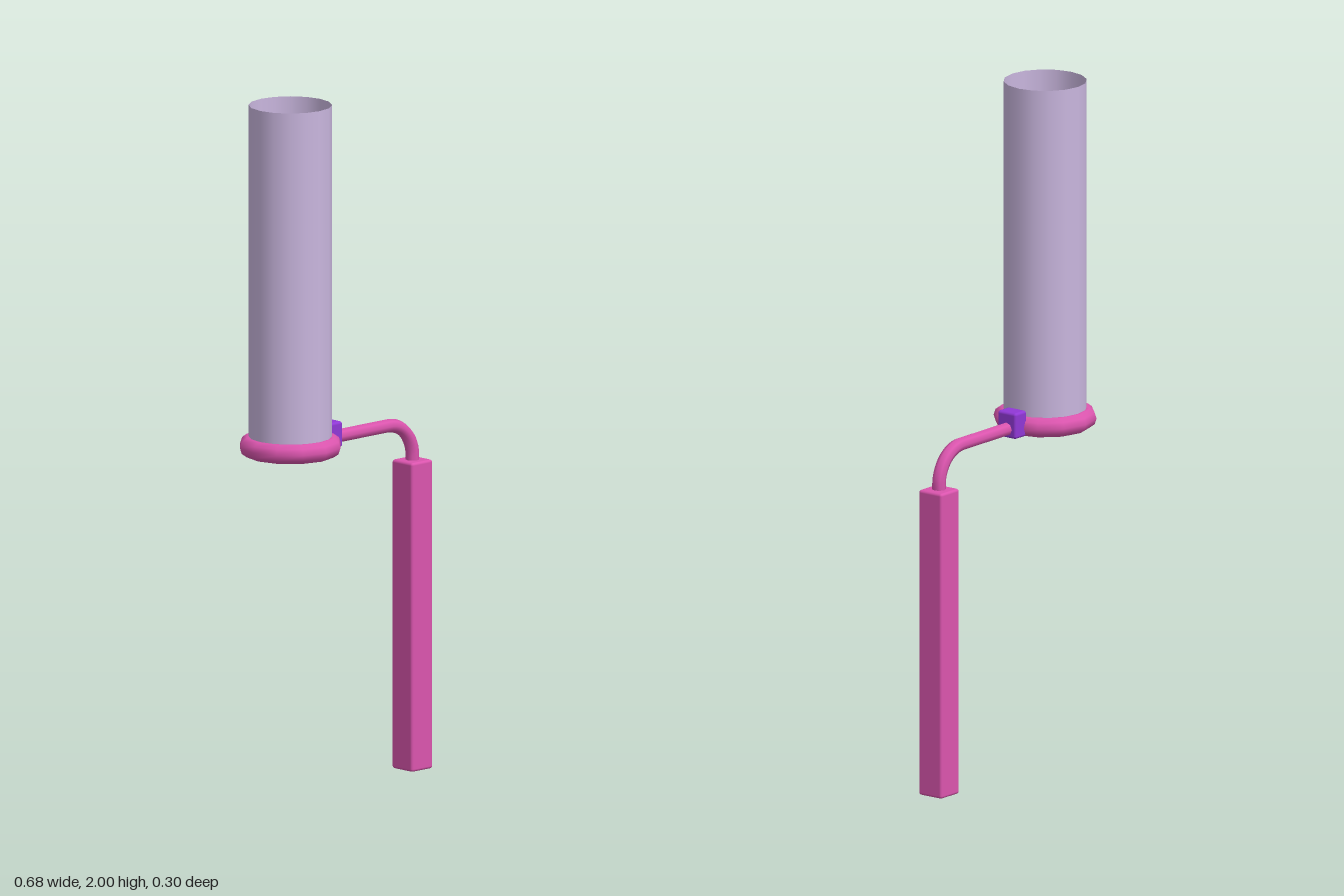
import * as THREE from 'three';
import { RoundedBoxGeometry } from 'three/addons/geometries/RoundedBoxGeometry.js';

const AXIS_X = -0.19;   // centre line of the tube and its ring
const ARM_Y = 1.01;     // height of the ring and arm
const POST_X = 0.295;

export function createModel() {
  const model = new THREE.Group();
  const pink = new THREE.MeshStandardMaterial({ color: 0xdb55ae });
  const purple = new THREE.MeshStandardMaterial({ color: 0x9038d6 });
  const lavender = new THREE.MeshStandardMaterial({ color: 0xc9b6de, side: THREE.DoubleSide });

  const add = (name, geometry, material, x = 0, y = 0, z = 0) => {
    const mesh = new THREE.Mesh(geometry, material);
    mesh.name = name;
    mesh.position.set(x, y, z);
    model.add(mesh);
    return mesh;
  };

  // Tall thin-walled tube, open at both ends
  add('tube', new THREE.CylinderGeometry(0.119, 0.119, 0.99, 16, 1, true), lavender, AXIS_X, 1.505);

  // Faceted ring holding the foot of the tube
  const ring = new THREE.TorusGeometry(0.119, 0.029, 10, 12).rotateX(Math.PI / 2);
  add('supportRing', ring, pink, AXIS_X, ARM_Y);

  // Clamp between ring and arm
  add('clamp', new RoundedBoxGeometry(0.052, 0.076, 0.067, 2, 0.008), purple, -0.039, 1.022);

  // Round arm that runs sideways, then bends down into the post
  const bend = 0.1;
  const k = bend * 0.5523;
  const v = (x, y) => new THREE.Vector3(x, y, 0);
  const path = new THREE.CurvePath();
  path.add(new THREE.LineCurve3(v(-0.05, ARM_Y), v(POST_X - bend, ARM_Y)));
  path.add(new THREE.CubicBezierCurve3(
    v(POST_X - bend, ARM_Y), v(POST_X - bend + k, ARM_Y),
    v(POST_X, ARM_Y - bend + k), v(POST_X, ARM_Y - bend)));
  path.add(new THREE.LineCurve3(v(POST_X, ARM_Y - bend), v(POST_X, 0.87)));
  add('bentArm', new THREE.TubeGeometry(path, 40, 0.0195, 8), pink);

  // Square post with softened edges
  add('post', new RoundedBoxGeometry(0.084, 0.898, 0.084, 2, 0.008), pink, POST_X, 0.449);

  return model;
}
